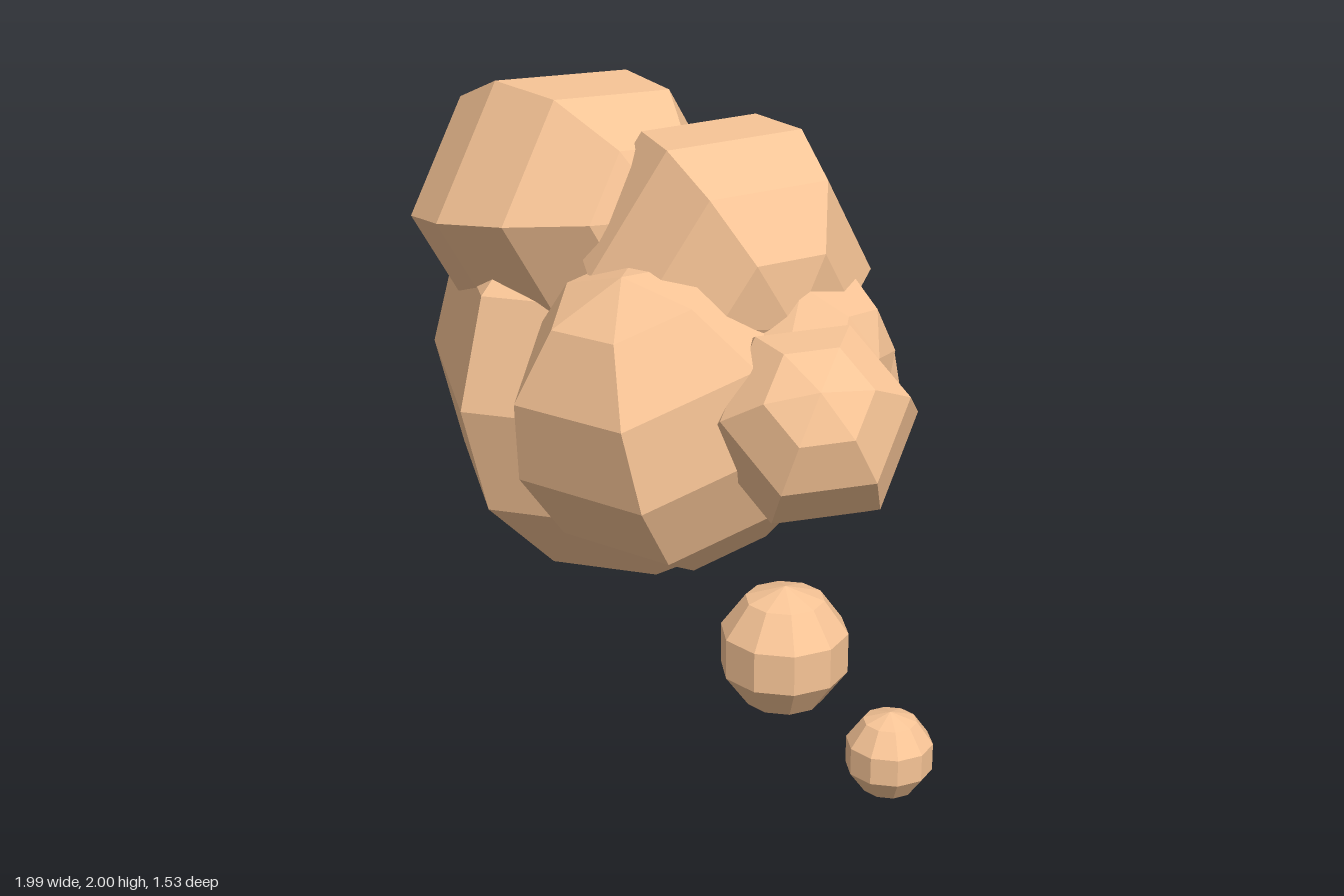
import * as THREE from 'three';

const material = new THREE.MeshStandardMaterial({ color: 0xf7c496, flatShading: true });

// Faceted puff: pole points along axis, one meridian faces ref, stretch lengthens the pole axis
function puff(name, center, radius, axis, ref, { stretch = 1, sides = 6, rings = 6 } = {}) {
  const mesh = new THREE.Mesh(new THREE.SphereGeometry(radius, sides, rings), material);
  const y = new THREE.Vector3(...axis).normalize();
  const x = new THREE.Vector3(...ref);
  x.addScaledVector(y, -x.dot(y)).normalize();
  const z = new THREE.Vector3().crossVectors(x, y);
  mesh.quaternion.setFromRotationMatrix(new THREE.Matrix4().makeBasis(x, y, z));
  mesh.scale.y = stretch;
  mesh.position.set(...center);
  mesh.name = name;
  return mesh;
}

export function createModel() {
  const group = new THREE.Group();
  group.name = 'thoughtCloud';

  // Overlapping puffs of the cloud
  group.add(
    puff('mainPuff', [-0.36, 1.05, -0.08], 0.70, [0, 1, 0], [0, 0, 1]),
    puff('upperRightPuff', [-0.435, 1.585, 0.11], 0.475, [0.98, 0.16, 0.13], [0, 0.07, 1], { stretch: 1.2 }),
    puff('upperLeftPuff', [0.18, 1.55, 0.03], 0.44, [0.93, -0.24, 0.25], [0, 0.84, 0.55]),
    puff('frontPuff', [0.24, 1.14, 0.31], 0.48, [0, 0.93, 0.36], [-0.37, 0, 0.93]),
    puff('leftEndPuff', [0.69, 1.185, 0.17], 0.31, [0.6, 0.6, 0.5], [1, -0.5, 0]),
    puff('leftMiddlePuff', [0.46, 1.29, 0.02], 0.305, [0.95, 0.2, -0.2], [0, 0.9, 0.4]),
    puff('backPuff', [0.30, 1.10, -0.15], 0.34, [0.2, 0.75, -0.6], [0.97, 0, 0.25]),
  );

  // Small trailing bubbles
  const round = { sides: 10, rings: 5 };
  group.add(
    puff('largeBubble', [0.42, 0.325, -0.01], 0.21, [0, 1, 0], [1, 0, 0], round),
    puff('smallBubble', [0.868, 0.14, -0.01], 0.137, [0, 1, 0], [1, 0, 0], round),
  );
  return group;
}
